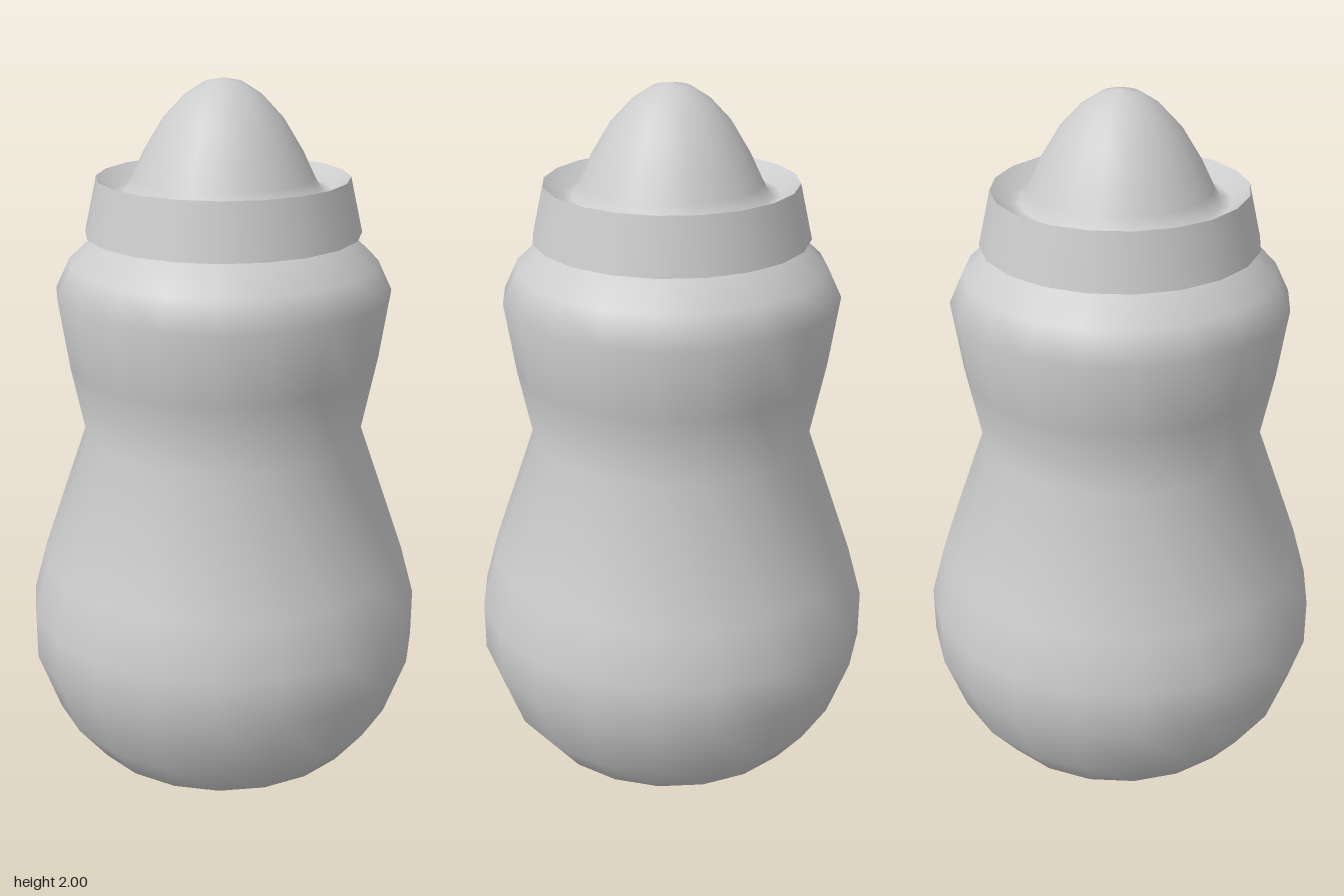
import * as THREE from 'three';

const SIDES = 20;
const material = new THREE.MeshStandardMaterial({ color: 0xcccccc, side: THREE.DoubleSide });

// Smooth surface of revolution from [radius, height] pairs, listed bottom to top
function turned(name, profile) {
  const points = profile.map(([r, y]) => new THREE.Vector2(r, y));
  const mesh = new THREE.Mesh(new THREE.LatheGeometry(points, SIDES), material);
  mesh.name = name;
  return mesh;
}

export function createModel() {
  const model = new THREE.Group();
  model.name = 'babyBottle';

  // Rounded belly, pinched waist and shoulder
  model.add(turned('bottleBody', [
    [0, 0], [0.13, 0.005], [0.21, 0.025], [0.4, 0.14], [0.485, 0.25],
    [0.545, 0.42], [0.545, 0.555], [0.505, 0.7], [0.38, 1.06],
    [0.42, 1.26], [0.448, 1.45], [0.41, 1.53], [0.335, 1.6], [0.3, 1.62],
  ]));

  // Tapered screw collar: separate wall and underside keep the edge crisp
  const collar = new THREE.Group();
  collar.name = 'collar';
  collar.add(
    turned('collarUnderside', [[0.29, 1.605], [0.365, 1.605]]),
    turned('collarWall', [[0.365, 1.605], [0.332, 1.75]]),
  );
  model.add(collar);

  // Sunken seat flowing smoothly into the domed teat
  model.add(turned('teat', [
    [0.332, 1.75], [0.285, 1.715], [0.258, 1.715], [0.238, 1.75],
    [0.207, 1.815], [0.155, 1.9], [0.1, 1.958], [0.05, 1.99], [0, 2],
  ]));

  return model;
}
